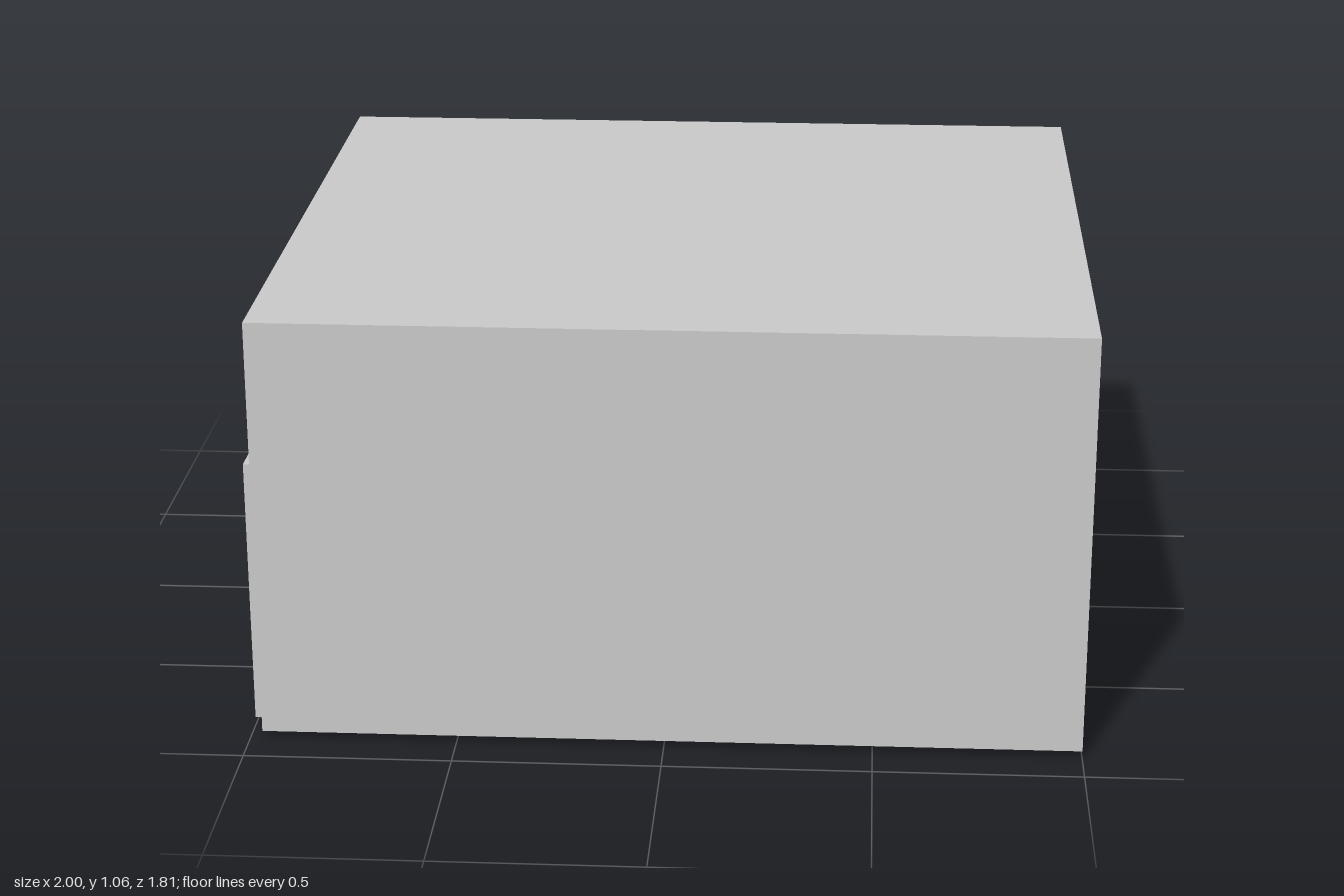
import * as THREE from 'three';

const X0 = -0.97, X1 = 1, Y0 = 0.02, Y1 = 1.06, Z = 0.905;
const W = X1 - X0, H = Y1 - Y0, CX = (X0 + X1) / 2, CY = (Y0 + Y1) / 2;

export function createModel() {
  const group = new THREE.Group();
  const solid = new THREE.MeshStandardMaterial({ color: 0xcccccc });
  const sheet = new THREE.MeshStandardMaterial({ color: 0xcccccc, side: THREE.DoubleSide });

  function add(name, geometry, material, x = 0, y = 0, z = 0) {
    const mesh = new THREE.Mesh(geometry, material);
    mesh.name = name;
    mesh.position.set(x, y, z);
    group.add(mesh);
    return mesh;
  }

  // box given by its lower and upper corners
  function block(name, [ax, ay, az], [bx, by, bz]) {
    return add(name, new THREE.BoxGeometry(bx - ax, by - ay, bz - az), solid,
      (ax + bx) / 2, (ay + by) / 2, (az + bz) / 2);
  }

  // rectangle with a notch at the bottom, drawn in (z, y)
  function arch(za, zb, top, ia, ib, innerTop) {
    return new THREE.Shape([[za, Y0], [ia, Y0], [ia, innerTop], [ib, innerTop],
      [ib, Y0], [zb, Y0], [zb, top], [za, top]].map(p => new THREE.Vector2(...p)));
  }

  // thin room shell
  add('floor', new THREE.PlaneGeometry(W, 2 * Z).rotateX(Math.PI / 2), sheet, CX, Y0, 0);
  add('ceiling', new THREE.PlaneGeometry(W, 2 * Z).rotateX(-Math.PI / 2), sheet, CX, Y1, 0);
  add('frontWall', new THREE.PlaneGeometry(W, H), sheet, CX, CY, Z);
  add('backWall', new THREE.PlaneGeometry(W, H).rotateY(Math.PI), sheet, CX, CY, -Z);
  add('leftWall', new THREE.PlaneGeometry(2 * Z, H).rotateY(Math.PI / 2), sheet, X1, CY, 0);
  add('doorWall', new THREE.ShapeGeometry(arch(-Z, Z, Y1, 0.51, 0.78, 0.63))
    .rotateY(-Math.PI / 2), sheet, X0, 0, 0);

  // door frame standing proud of both sides of the wall
  const frame = new THREE.ExtrudeGeometry(arch(0.46, 0.83, 0.68, 0.51, 0.78, 0.63),
    { depth: 0.055, bevelEnabled: false });
  add('doorFrame', frame.rotateY(-Math.PI / 2), solid, -0.945, 0, 0);

  // furniture along the back wall, its bases showing through the floor
  block('tallCabinet', [0.45, 0, -0.885], [0.69, 0.65, -0.64]);
  block('counter', [-0.375, 0.01, -0.885], [0.425, 0.38, -0.635]);
  block('sideCabinet', [-0.67, 0.018, -0.885], [-0.375, 0.38, -0.6]);

  return group;
}
